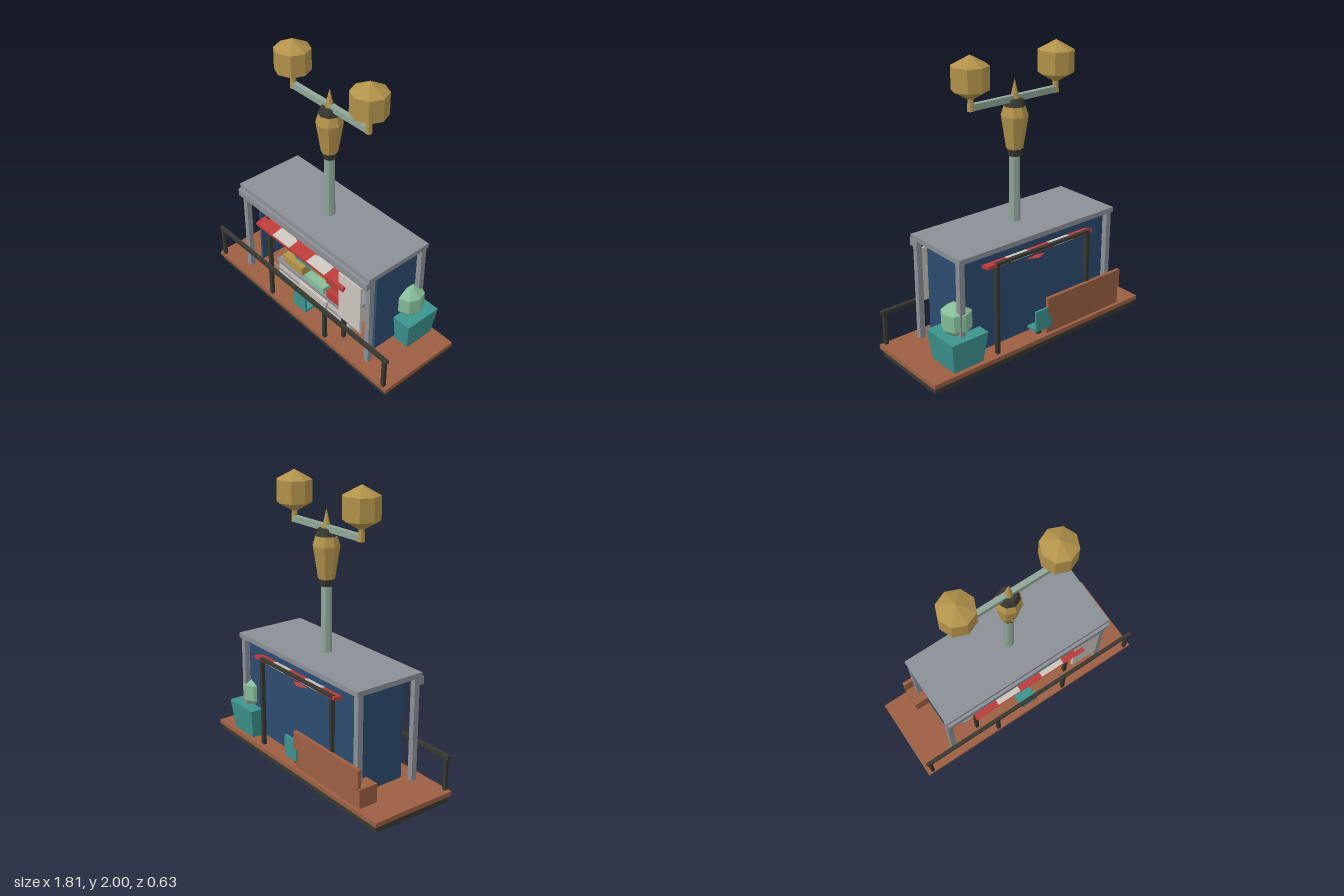
import * as THREE from 'three';

const mat = (name, color) => {
  const m = new THREE.MeshStandardMaterial({ color, flatShading: true });
  m.name = name;
  return m;
};

export function createModel() {
  const root = new THREE.Group();
  root.name = 'streetKiosk';
  const brown = mat('brown wood', 0x9c5f43), dark = mat('charcoal', 0x373831), grey = mat('roof grey', 0x8b9096);
  const blue = mat('navy blue', 0x2c4b70), teal = mat('teal', 0x3c938e), gold = mat('brass', 0xb3934b);
  const sage = mat('sage metal', 0x90a698), green = mat('leaf green', 0x86bd99);
  const red = mat('red', 0xbb3b39), white = mat('off white', 0xcbc5bd);

  const add = (name, geo, m, parent = root) => {
    const mesh = new THREE.Mesh(geo, m);
    mesh.name = name;
    parent.add(mesh);
    return mesh;
  };
  // Box given by its limits on each axis
  const box = (name, m, x0, x1, y0, y1, z0, z1, parent = root) => {
    const b = add(name, new THREE.BoxGeometry(x1 - x0, y1 - y0, z1 - z0), m, parent);
    b.position.set((x0 + x1) / 2, (y0 + y1) / 2, (z0 + z1) / 2);
    return b;
  };
  // Eight-sided turned part from [radius, height] pairs
  const turned = (name, m, pts, x = 0, z = 0, parent = root) => {
    const l = add(name, new THREE.LatheGeometry(pts.map(p => new THREE.Vector2(...p)), 8), m, parent);
    l.position.set(x, 0, z);
    return l;
  };
  // Box narrowing towards the bottom
  const tapered = (name, m, x0, x1, y0, y1, z0, z1, k) => {
    const b = box(name, m, x0, x1, y0, y1, z0, z1);
    const p = b.geometry.attributes.position;
    for (let i = 0; i < p.count; i++) {
      if (p.getY(i) < 0) p.setXYZ(i, p.getX(i) * k, p.getY(i), p.getZ(i) * k);
    }
    b.geometry.computeVertexNormals();
    return b;
  };

  // Platform
  box('platformBase', dark, -0.89, 0.89, 0, 0.048, -0.3, 0.3);
  box('platformDeck', brown, -0.905, 0.905, 0.048, 0.08, -0.315, 0.315);

  // Front railing
  const railing = new THREE.Group();
  railing.name = 'railing';
  root.add(railing);
  box('topRail', dark, -0.89, 0.89, 0.305, 0.33, 0.285, 0.31, railing);
  for (const x of [-0.863, -0.287, 0.287, 0.863]) {
    box('railPost', dark, x - 0.013, x + 0.013, 0.08, 0.31, 0.285, 0.309, railing);
  }

  // Shelter
  box('roof', grey, -0.66, 0.66, 0.8, 0.835, -0.27, 0.255);
  box('roofFascia', grey, -0.655, 0.655, 0.748, 0.802, 0.24, 0.275);
  for (const s of [-1, 1]) {
    for (const z of [0.22, -0.237]) {
      box('shelterPost', grey, s * 0.635 - 0.02, s * 0.635 + 0.02, 0.08, 0.8, z - 0.02, z + 0.02);
    }
    box('sideWall', blue, s * 0.605 - 0.01, s * 0.605 + 0.01, 0.11, 0.8, -0.21, 0.14);
  }
  box('backWall', blue, -0.615, 0.615, 0.11, 0.8, -0.215, -0.195);
  box('noticePanel', white, 0.385, 0.592, 0.33, 0.715, 0.243, 0.262);

  // Lamp post
  turned('lampPole', sage, [[0.044, 0.08], [0.035, 1.3]]);
  turned('lowerCollar', dark, [[0, 1.29], [0.042, 1.29], [0.05, 1.34], [0, 1.34]]);
  turned('lampBody', gold, [[0, 1.335], [0.056, 1.34], [0.09, 1.56], [0.068, 1.63], [0, 1.63]]);
  turned('upperCollar', dark, [[0, 1.62], [0.075, 1.625], [0.055, 1.67], [0, 1.675]]);
  turned('spike', gold, [[0.03, 1.67], [0, 1.8]]);
  box('crossArm', sage, -0.35, 0.35, 1.652, 1.694, -0.018, 0.018);
  for (const x of [-0.35, 0.35]) {
    turned('globeStem', gold, [[0, 1.65], [0.023, 1.65], [0.018, 1.74]], x);
    turned('globe', gold, [[0, 1.73], [0.025, 1.73], [0.12, 1.785], [0.12, 1.935], [0, 2]], x);
  }

  // Stall frame
  for (const z of [0.2, -0.272]) {
    for (const x of [-0.415, 0.372]) box('stallPole', dark, x - 0.013, x + 0.013, 0.08, 0.73, z - 0.013, z + 0.013);
    box('stallBeam', dark, -0.428, 0.385, 0.715, 0.733, z - 0.013, z + 0.013);
  }
  // Sloping striped awning
  const awning = new THREE.Group();
  awning.name = 'awning';
  awning.position.set(0, 0.67, 0);
  awning.rotation.x = 0.182;
  root.add(awning);
  for (let i = 0; i < 5; i++) {
    const x = -0.45 + i * 0.18;
    box('awningStripe', i % 2 ? white : red, x, x + 0.18, -0.011, 0.011, -0.288, 0.288, awning);
  }
  box('awningEdge', red, -0.452, 0.452, -0.013, 0.006, 0.283, 0.293, awning);
  turned('parasol', red, [[0, 0.645], [0.25, 0.645], [0.1, 0.69], [0, 0.705]]);

  // Counter with goods
  box('counter', white, -0.4, 0.36, 0.08, 0.222, -0.08, 0.14);
  box('counterTop', grey, -0.405, 0.365, 0.222, 0.247, -0.09, 0.155);
  tapered('counterFront', white, -0.15, 0.15, 0.08, 0.205, 0.02, 0.165, 0.82);
  box('counterRod', grey, -0.5, 0.49, 0.145, 0.157, 0.135, 0.147);
  box('yellowCrate', gold, -0.35, -0.14, 0.247, 0.315, 0.02, 0.14);
  box('tealTray', teal, -0.25, -0.02, 0.33, 0.36, 0.0, 0.11);
  box('trayStand', teal, -0.2, -0.08, 0.247, 0.33, 0.0, 0.06);
  box('greenCrate', green, -0.1, 0.1, 0.247, 0.295, 0.04, 0.15);
  box('navyCase', blue, -0.095, 0.095, 0.3, 0.38, -0.03, 0.06);
  box('brassTray', gold, -0.075, 0.075, 0.335, 0.35, 0.05, 0.11);
  box('redCrate', red, 0.14, 0.33, 0.247, 0.315, 0.03, 0.15);
  box('redLid', red, 0.09, 0.245, 0.325, 0.36, 0.0, 0.11);
  box('redStack', red, 0.15, 0.24, 0.31, 0.33, 0.02, 0.1);

  // Seats on both sides of the counter
  for (const s of [1, -1]) {
    const chair = new THREE.Group();
    chair.name = 'chair';
    if (s < 0) {
      chair.rotation.y = Math.PI;
      chair.position.z = -0.02;
    }
    root.add(chair);
    box('chairSeat', teal, -0.067, 0.067, 0.13, 0.148, 0.17, 0.283, chair);
    box('chairBack', teal, -0.067, 0.067, 0.14, 0.282, 0.268, 0.284, chair);
    box('chairLeg', dark, -0.016, 0.016, 0.08, 0.13, 0.21, 0.242, chair);
  }

  // Bench behind the shelter
  box('benchSeat', brown, -0.72, -0.04, 0.08, 0.212, -0.292, -0.15);
  box('benchBack', brown, -0.72, -0.04, 0.222, 0.35, -0.305, -0.28);
  box('benchBrace', brown, -0.7, -0.06, 0.2, 0.23, -0.298, -0.284);

  // Planter
  tapered('planter', teal, 0.475, 0.758, 0.08, 0.295, -0.308, -0.028, 0.82);
  turned('bush', green, [[0, 0.29], [0.07, 0.295], [0.1, 0.33], [0.1, 0.445], [0.03, 0.493], [0, 0.495]], 0.62, -0.167);

  return root;
}
